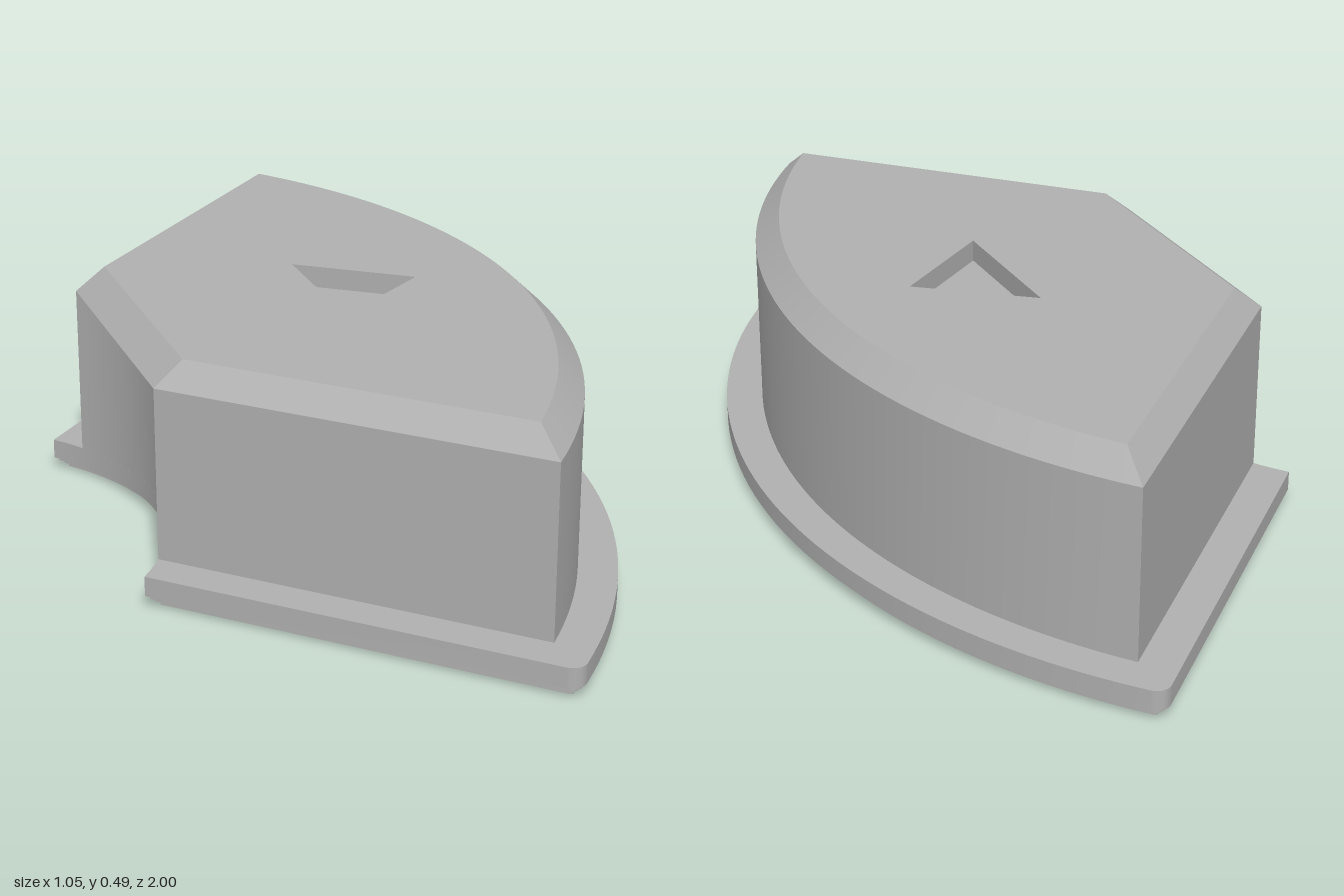
import * as THREE from 'three';
import { toCreasedNormals } from 'three/addons/utils/BufferGeometryUtils.js';

const CX = -0.96; // shared centre of the inner and outer arcs
const V = (x, z) => new THREE.Vector2(x, z);

// x, z where the 45 degree side z = x + c meets the circle of radius r
function sideMeets(c, r) {
  const k = c - CX * -1;
  const u = (-k + Math.sqrt(2 * r * r - k * k)) / 2;
  return V(u + CX, u + k);
}

// Fan-shaped outline: outer arc R, side offset c, corner fillet f,
// inner edge either a concave arc (innerR) or straight at innerX
function outline({ R, c, f = 0, innerR, innerX }) {
  const corner = sideMeets(c - f * Math.SQRT2, R - f);
  const theta = Math.atan2(corner.y, corner.x - CX);
  const pts = [];
  const fillet = [];
  for (let i = 1; f > 0 && i <= 8; i++) {
    const a = theta + (Math.PI * 0.75 - theta) * i / 8;
    fillet.push(V(corner.x + f * Math.cos(a), corner.y + f * Math.sin(a)));
  }
  for (const p of [...fillet].reverse()) pts.push(V(p.x, -p.y));
  for (let i = 0; i <= 48; i++) {
    const a = theta * (i / 24 - 1);
    pts.push(V(CX + R * Math.cos(a), R * Math.sin(a)));
  }
  pts.push(...fillet);
  if (innerX !== undefined) {
    pts.push(V(innerX, innerX + c), V(innerX, -innerX - c));
  } else {
    const e = sideMeets(c, innerR);
    const phi = Math.atan2(e.y, e.x - CX);
    for (let i = 0; i <= 24; i++) {
      const a = phi * (1 - i / 12);
      pts.push(V(CX + innerR * Math.cos(a), innerR * Math.sin(a)));
    }
  }
  return pts;
}

// Walls between two rings of equal length
function walls(out, low, y0, high, y1) {
  low.forEach((p, i) => {
    const j = (i + 1) % low.length;
    const q = low[j], P = high[i], Q = high[j];
    out.push(p.x, y0, p.y, P.x, y1, P.y, q.x, y0, q.y);
    out.push(q.x, y0, q.y, P.x, y1, P.y, Q.x, y1, Q.y);
  });
}

// Flat cap with optional holes, facing up or down
function cap(out, ring, y, up, holes = []) {
  const all = [...ring, ...holes.flat()];
  for (const t of THREE.ShapeUtils.triangulateShape([...ring], holes.map(h => [...h]))) {
    let [a, b, c] = t.map(i => all[i]);
    const facesUp = (b.x - a.x) * (c.y - a.y) - (b.y - a.y) * (c.x - a.x) < 0;
    if (facesUp !== up) [b, c] = [c, b];
    for (const p of [a, b, c]) out.push(p.x, y, p.y);
  }
}

export function createModel() {
  const group = new THREE.Group();
  const grey = new THREE.MeshStandardMaterial({ color: 0xb0b0b0 });
  grey.name = 'plain grey';

  function add(name, positions) {
    const g = new THREE.BufferGeometry();
    g.setAttribute('position', new THREE.Float32BufferAttribute(positions, 3));
    const mesh = new THREE.Mesh(toCreasedNormals(g, 0.4), grey);
    mesh.name = name;
    group.add(mesh);
  }

  const hex = (r, turn) => Array.from({ length: 6 }, (_, i) => {
    const a = (i + turn) * Math.PI / 3;
    return V(0.1 + r * Math.cos(a), r * Math.sin(a));
  });
  const hexMouth = hex(0.19, 0);
  const hexBore = hex(0.1645, 0.5);
  const hexLip = hex(0.1425, 0);

  // Flange with a finely stepped lower edge
  const flange = [];
  const levels = [0, 0.009, 0.017, 0.025, 0.0675];
  for (let i = 0; i < 4; i++) {
    const d = (3 - i) * 0.008;
    const ring = outline({ R: 1.48 - d, c: 0.89 - d * Math.SQRT2, f: 0.03 - d, innerR: 0.567 + d });
    walls(flange, ring, levels[i], ring, levels[i + 1]);
    cap(flange, ring, levels[i], false, [hexMouth]);
    if (i === 3) cap(flange, ring, levels[4], true, [hexMouth]);
  }
  add('flange', flange);

  // Upright body with a concave inner wall
  const body = [];
  const bodyRing = outline({ R: 1.4, c: 0.775, innerR: 0.567 });
  walls(body, bodyRing, 0.0675, bodyRing, 0.436);
  add('body', body);

  // Bevelled top, straight across the inner side, with a triangular recess
  const top = [];
  const low = outline({ R: 1.4, c: 0.775, innerX: sideMeets(0.775, 0.567).x });
  const high = outline({ R: 1.347, c: 0.705, innerX: -0.415 });
  const triangle = [V(-0.03, -0.167), V(0.19, 0), V(-0.03, 0.167)];
  cap(top, low, 0.436, false);
  walls(top, low, 0.436, high, 0.4865);
  cap(top, high, 0.4865, true, [triangle]);
  add('bevelledTop', top);

  const recess = [];
  const inward = [...triangle].reverse();
  walls(recess, inward, 0.44, inward, 0.4865);
  cap(recess, triangle, 0.44, true);
  add('triangleRecess', recess);

  // Six-sided socket in the underside with a turned, tapered mouth
  const socket = [];
  const depth = 0.3;
  const at = (p, y) => [p.x, y, p.y];
  for (let i = 0; i < 6; i++) {
    const a = hexBore[(i + 5) % 6], b = hexBore[i];
    const A = at(a, 0), B = at(b, 0), A2 = at(a, depth), B2 = at(b, depth);
    const C = at(hexMouth[i], 0), P = at(hexLip[i], 0.045);
    socket.push(...P, ...B, ...B2, ...P, ...B2, ...A2, ...P, ...A2, ...A);
    socket.push(...A, ...C, ...P, ...C, ...B, ...P);
  }
  cap(socket, hexBore, depth, false);
  add('hexSocket', socket);

  return group;
}
